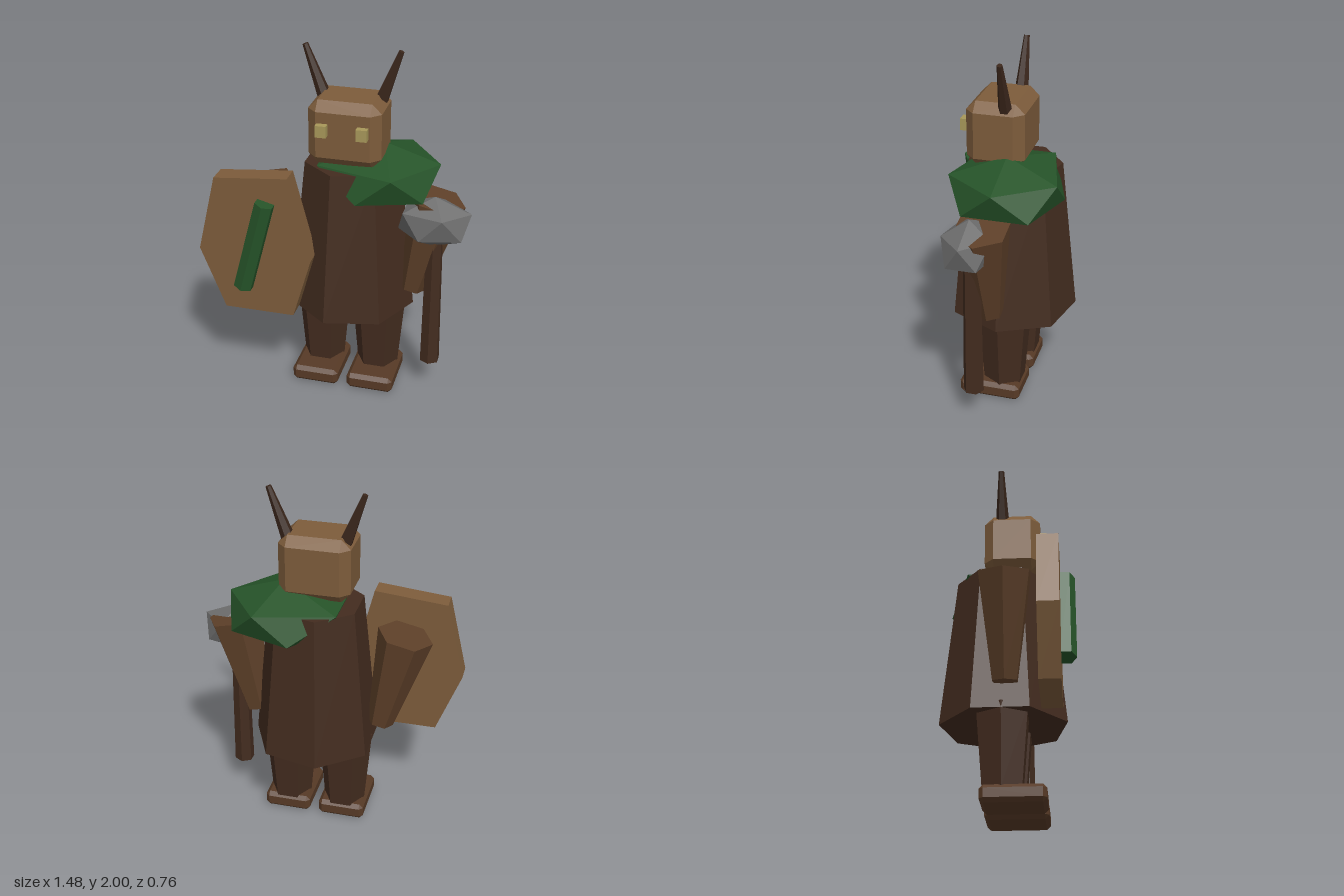
import * as THREE from 'three';
import { ConvexGeometry } from 'three/addons/geometries/ConvexGeometry.js';

const mat = (color) => new THREE.MeshStandardMaterial({ color, flatShading: true });
const MATS = {
  cloth: mat(0x432c1f), arm: mat(0x5e4029), boot: mat(0x573a26), horn: mat(0x3a261b),
  wood: mat(0x7d5c3b), green: mat(0x265429), stone: mat(0x6c6c6c), eye: mat(0xa8985a),
};
const MID = 0.05; // body axis in x

// Tapered prism from point a (radius ra) to point b (radius rb); turn spins it about its axis
function prism(a, b, ra, rb, sides, turn = 0) {
  const from = new THREE.Vector3(...a), to = new THREE.Vector3(...b);
  const axis = to.clone().sub(from);
  const geo = new THREE.CylinderGeometry(rb, ra, axis.length(), sides).rotateY(turn);
  geo.applyQuaternion(new THREE.Quaternion().setFromUnitVectors(new THREE.Vector3(0, 1, 0), axis.normalize()));
  return geo.translate(...from.add(to).multiplyScalar(0.5).toArray());
}

// Box with every edge cut by c
function chamferBox(w, h, d, c) {
  const half = [w / 2, h / 2, d / 2], points = [];
  for (let face = 0; face < 3; face++)
    for (const sx of [-1, 1]) for (const sy of [-1, 1]) for (const sz of [-1, 1])
      points.push(new THREE.Vector3(...[sx, sy, sz].map((s, i) => s * (half[i] - (i === face ? 0 : c)))));
  return new ConvexGeometry(points);
}

// Icosahedron standing on a corner, stretched per axis
function gem(rx, ry, rz) {
  return new THREE.IcosahedronGeometry(1, 0).rotateZ(-Math.atan(2 / (1 + Math.sqrt(5)))).scale(rx, ry, rz);
}

export function createModel() {
  const model = new THREE.Group();
  const add = (name, geometry, material) => {
    const mesh = new THREE.Mesh(geometry, material);
    mesh.name = name;
    model.add(mesh);
    return mesh;
  };
  const Q = Math.PI / 2;

  // Robe and head
  add('robe', prism([0.055, 0.5, -0.03], [0.055, 1.37, -0.03], 0.36, 0.27, 7, Q), MATS.cloth);
  add('head', chamferBox(0.4, 0.36, 0.32, 0.052).translate(MID, 1.578, 0.027), MATS.wood);

  // Mirrored pairs
  for (const s of [-1, 1]) {
    const side = s > 0 ? 'left' : 'right';
    const x = (offset) => MID + s * offset;
    add(side + 'Eye', new THREE.BoxGeometry(0.06, 0.065, 0.04).translate(x(0.11), 1.612, 0.205), MATS.eye);
    add(side + 'Horn', prism([x(0.15), 1.7, -0.03], [x(0.26), 2, -0.03], 0.04, 0.016, 6), MATS.horn);
    add(side + 'Arm', prism([x(0.365), 0.625, 0], [x(0.49), 1.195, 0.005], 0.075, 0.157, 6, Q), MATS.arm);
    const legX = MID + s * 0.1625;
    add(side + 'Leg', prism([legX, 0.08, -0.025], [legX, 0.54, -0.025], 0.12, 0.16, 6, Q), MATS.cloth);
    add(side + 'Boot', chamferBox(0.27, 0.095, 0.35, 0.022).translate(legX, 0.0475, 0.035), MATS.boot);
  }

  // Shoulder scarf, drawn out towards the right shoulder
  const scarf = gem(0.347, 0.178, 0.347);
  const p = scarf.attributes.position;
  for (let i = 0; i < p.count; i++)
    if (p.getX(i) < -0.2 && p.getY(i) > 0) p.setX(i, -0.335);
  add('scarf', scarf.translate(0.23, 1.3, -0.045), MATS.green);

  // Stone club in the left hand
  add('clubHandle', prism([0.54, 0.19, 0.06], [0.54, 1.05, 0.06], 0.058, 0.047, 6), MATS.cloth);
  add('clubHead', gem(0.224, 0.148, 0.159).translate(0.537, 1.092, 0.07), MATS.stone);

  // Shield plate with a slanted bar
  const outline = [[-0.745, 0.87], [-0.605, 0.51], [-0.205, 0.51], [-0.1, 0.87], [-0.225, 1.355], [-0.64, 1.315]];
  const plate = new THREE.Shape(outline.map(([x, y]) => new THREE.Vector2(x, y)));
  add('shield', new THREE.ExtrudeGeometry(plate, { depth: 0.115, bevelEnabled: false }).translate(0, 0, 0.185), MATS.wood);
  add('shieldBar', prism([-0.486, 0.674, 0.323], [-0.345, 1.206, 0.323], 0.057, 0.057, 6), MATS.green);

  return model;
}
